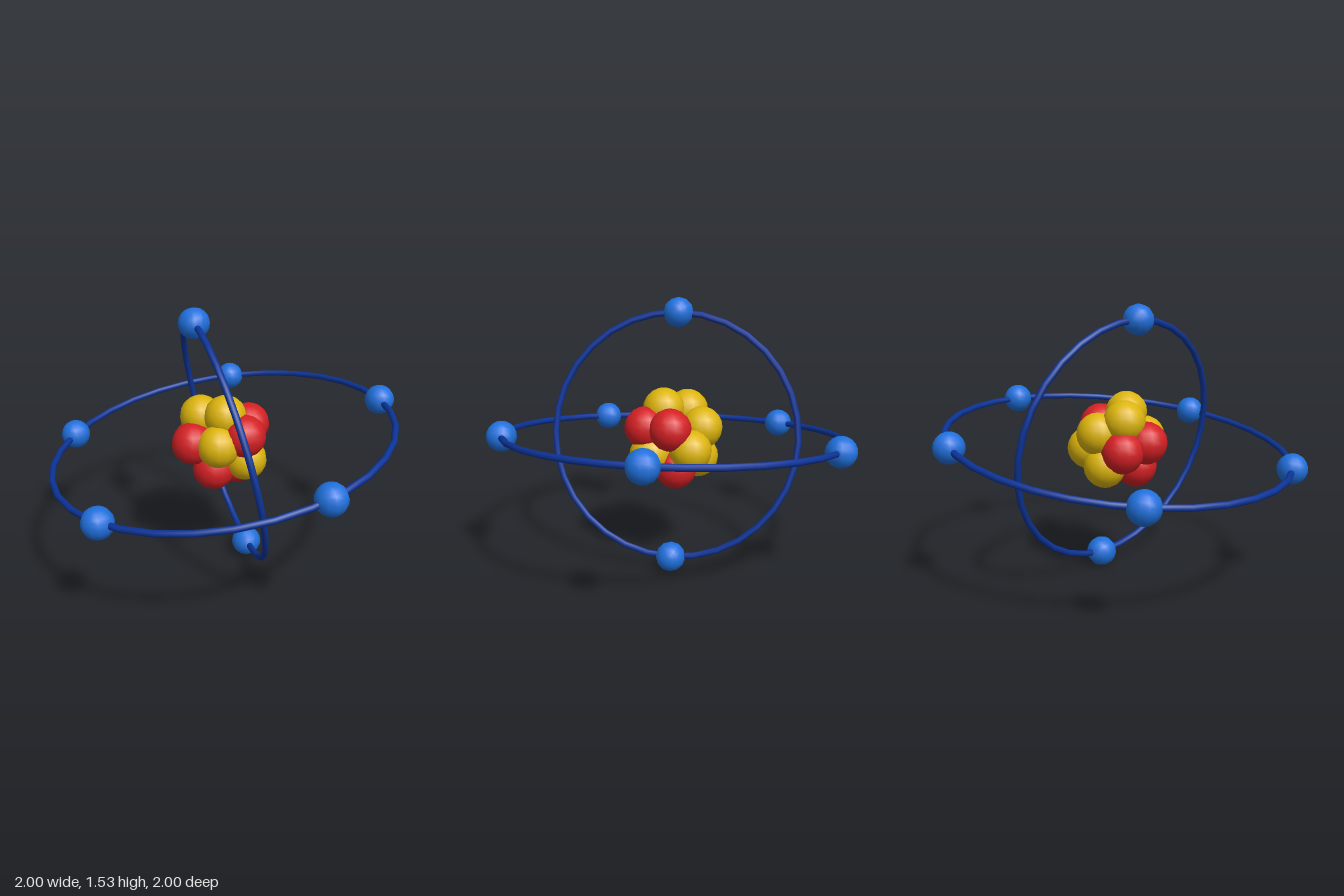
import * as THREE from 'three';

const mat = (name, color) => {
  const m = new THREE.MeshStandardMaterial({ color });
  m.name = name;
  return m;
};

export function createModel() {
  const model = new THREE.Group();
  model.name = 'atom';
  const red = mat('protonRed', 0xd42024);
  const yellow = mat('neutronYellow', 0xdcb40c);
  const blue = mat('electronBlue', 0x2070dc);
  const navy = mat('orbitNavy', 0x0c3498);
  const centre = new THREE.Vector3(-0.035, 0.77, 0);

  // Nucleus: a tight cluster of balls
  const nucleus = new THREE.Group();
  nucleus.name = 'nucleus';
  model.add(nucleus);
  const ball = new THREE.SphereGeometry(0.118, 14, 10);
  const cluster = (name, material, places) => places.forEach((p, i) => {
    const mesh = new THREE.Mesh(ball, material);
    mesh.name = name + (i + 1);
    mesh.position.set(...p);
    nucleus.add(mesh);
  });
  cluster('proton', red, [
    [-0.21, 0.78, 0.04], [0.055, 0.84, 0.15], [0.12, 0.85, 0], [-0.17, 0.74, -0.1],
    [-0.1, 0.63, 0.07], [0.05, 0.61, -0.02], [-0.035, 0.77, 0],
  ]);
  cluster('neutron', yellow, [
    [-0.03, 0.93, 0.06], [-0.14, 0.9, -0.06], [0.1, 0.73, -0.11], [-0.03, 0.83, -0.155],
    [-0.09, 0.79, 0.14], [0.07, 0.69, 0.12], [-0.06, 0.65, -0.13],
  ]);

  // Orbits: a thin ring with evenly spaced electrons, tilted about z
  const electronShape = new THREE.SphereGeometry(0.085, 12, 10);
  const addOrbit = (name, radius, count, tilt) => {
    const orbit = new THREE.Group();
    orbit.name = name;
    orbit.position.copy(centre);
    orbit.rotation.z = THREE.MathUtils.degToRad(tilt);
    const ring = new THREE.Mesh(new THREE.TorusGeometry(radius, 0.018, 8, 32).rotateX(Math.PI / 2), navy);
    ring.name = name + 'Ring';
    orbit.add(ring);
    for (let i = 0; i < count; i++) {
      const a = (i / count) * Math.PI * 2;
      const electron = new THREE.Mesh(electronShape, blue);
      electron.name = name + 'Electron' + (i + 1);
      electron.position.set(radius * Math.cos(a), 0, radius * Math.sin(a));
      orbit.add(electron);
    }
    model.add(orbit);
  };
  addOrbit('outerOrbit', 0.96, 5, 8.7);
  addOrbit('innerOrbit', 0.695, 2, 102.4);

  return model;
}
